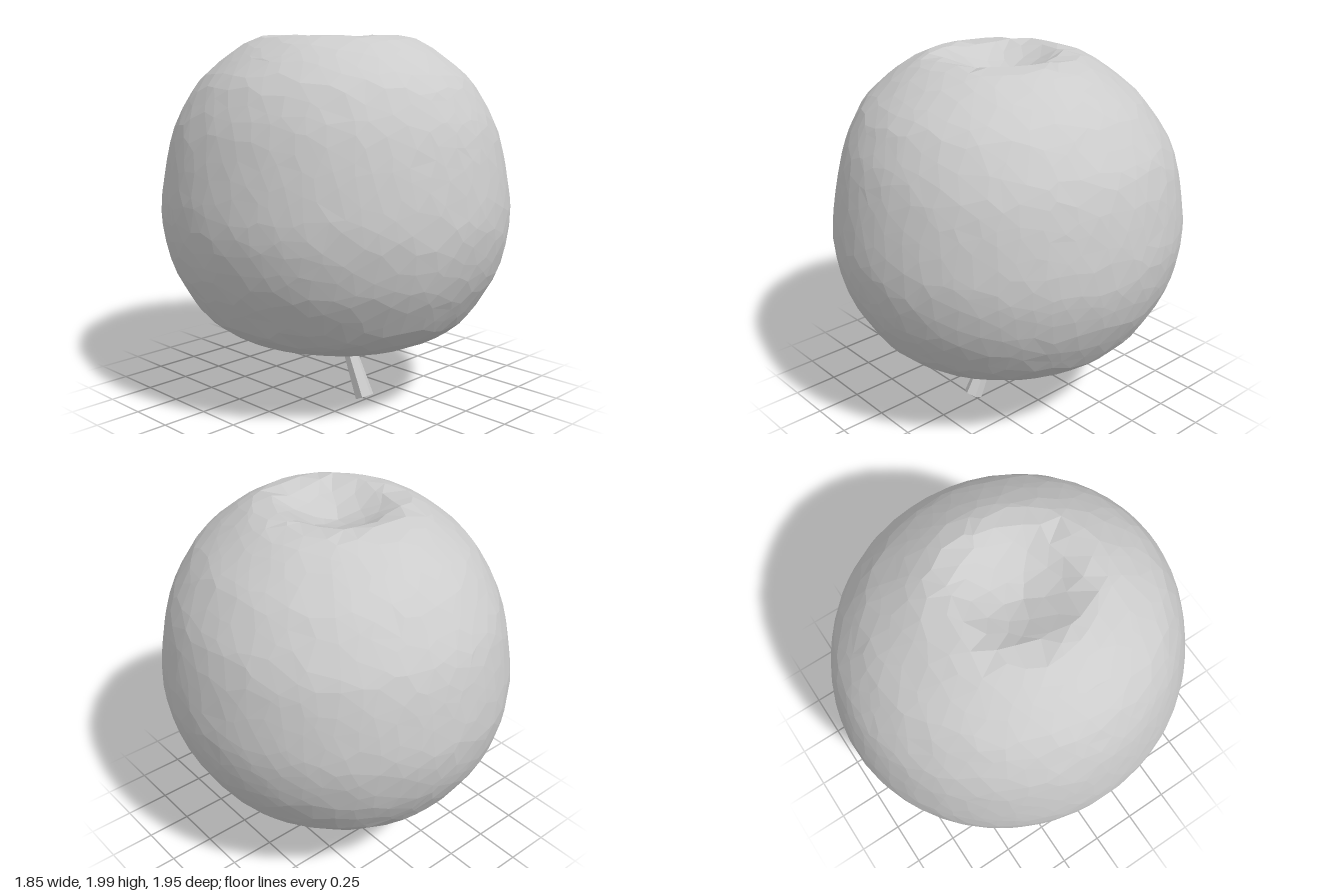
import * as THREE from 'three';
import { mergeVertices } from 'three/addons/utils/BufferGeometryUtils.js';

const material = new THREE.MeshStandardMaterial({ color: 0xcccccc, flatShading: true });

// Half profile of the fruit (radius, height), from the stem hollow up to the crown hollow
const profile = new THREE.SplineCurve([
  [0, 0.52], [0.15, 0.49], [0.3, 0.4], [0.43, 0.36], [0.58, 0.4], [0.72, 0.5],
  [0.8, 0.62], [0.88, 0.78], [0.925, 1.0], [0.915, 1.2], [0.85, 1.5], [0.745, 1.7],
  [0.665, 1.8], [0.47, 1.95], [0.32, 1.995], [0.18, 1.93], [0, 1.87],
].map(([r, y]) => new THREE.Vector2(r, y)));

function seeded(seed) {
  return () => {
    seed = (seed * 16807) % 2147483647;
    return seed / 2147483647 - 0.5;
  };
}

// Triangulated ball wrapped onto the profile, with slightly irregular facets
function fruitGeometry() {
  const ball = new THREE.IcosahedronGeometry(1, 10);
  ball.deleteAttribute('normal');
  ball.deleteAttribute('uv');
  const geometry = mergeVertices(ball, 1e-4);
  const pos = geometry.attributes.position;
  const random = seeded(71);
  const v = new THREE.Vector3();
  for (let i = 0; i < pos.count; i++) {
    v.fromBufferAttribute(pos, i);
    v.set(v.x + random() * 0.07, v.y + random() * 0.07, v.z + random() * 0.07).normalize();
    const p = profile.getPointAt(1 - Math.acos(v.y) / Math.PI);
    const angle = Math.atan2(v.z, v.x);
    // the upper part leans slightly forward and to one side
    const lean = THREE.MathUtils.smoothstep(p.y, 1.4, 1.9);
    pos.setXYZ(i,
      p.x * Math.cos(angle) - 0.03 * lean,
      p.y,
      p.x * Math.sin(angle) * 1.05 + 0.03 * lean);
  }
  geometry.computeVertexNormals();
  return geometry;
}

// Tapered six-sided stem between two points
function stemMesh(from, to, rFrom, rTo) {
  const axis = to.clone().sub(from);
  const mesh = new THREE.Mesh(new THREE.CylinderGeometry(rTo, rFrom, axis.length(), 6), material);
  mesh.position.copy(from).add(to).multiplyScalar(0.5);
  mesh.quaternion.setFromUnitVectors(new THREE.Vector3(0, 1, 0), axis.normalize());
  mesh.name = 'stem';
  return mesh;
}

export function createModel() {
  const group = new THREE.Group();
  group.name = 'upturnedApple';
  const fruit = new THREE.Mesh(fruitGeometry(), material);
  fruit.name = 'fruit';
  group.add(fruit);
  group.add(stemMesh(new THREE.Vector3(-0.025, 0.026, 0.26), new THREE.Vector3(-0.01, 0.54, 0), 0.052, 0.022));
  return group;
}
